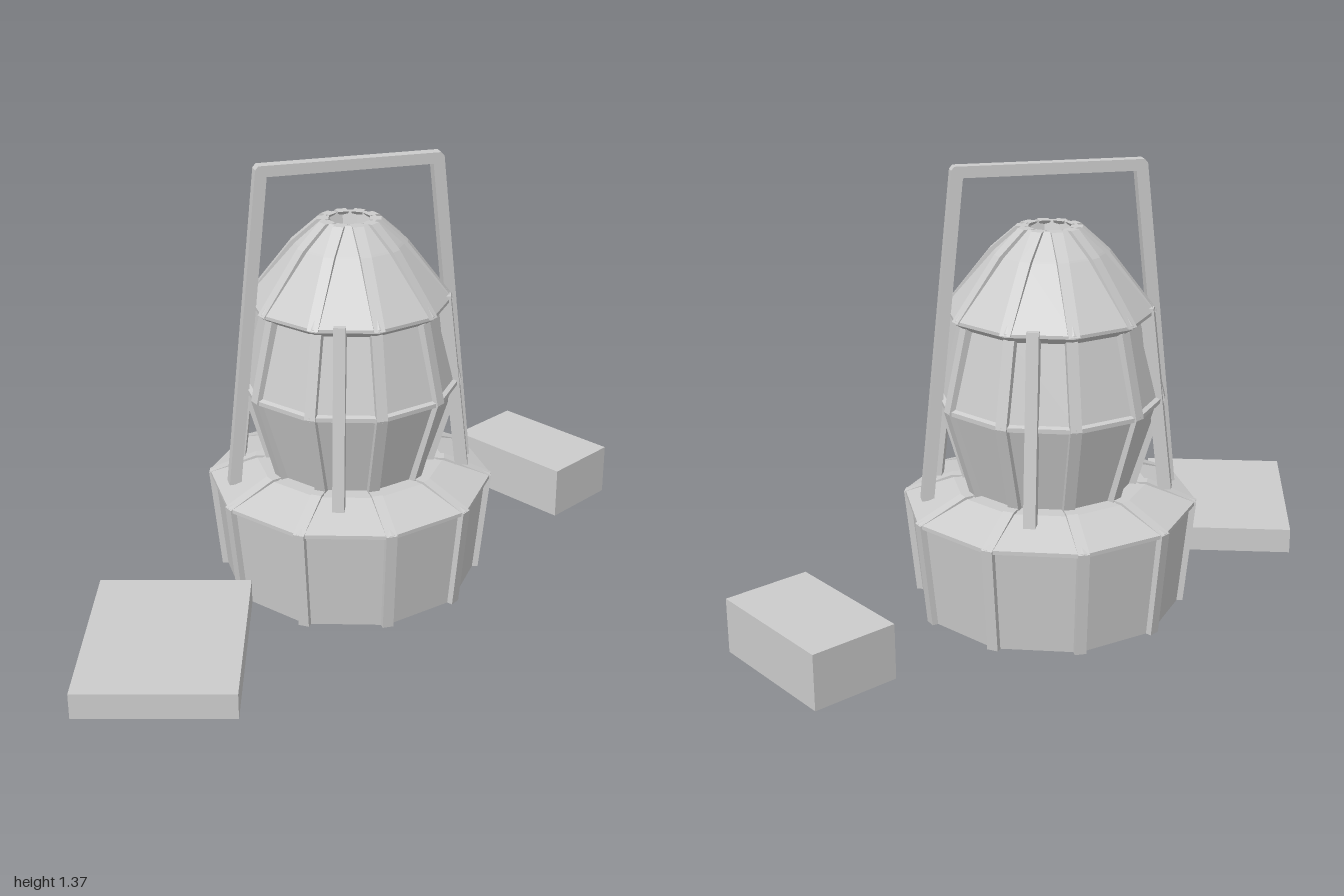
import * as THREE from 'three';

const SIDES = 10;
const CENTER_Z = -0.1;

export function createModel() {
  const model = new THREE.Group();
  const grey = new THREE.MeshStandardMaterial({ color: 0xcccccc, flatShading: true });

  const add = (name, geometry, parent = model) => {
    const mesh = new THREE.Mesh(geometry, grey);
    mesh.name = name;
    parent.add(mesh);
    return mesh;
  };
  const vectors = (list) => list.map(([x, y]) => new THREE.Vector2(x, y));
  const slab = (points, depth, holes = []) => {
    const shape = new THREE.Shape(vectors(points));
    holes.forEach((h) => shape.holes.push(new THREE.Path(vectors(h))));
    return new THREE.ExtrudeGeometry(shape, { depth, bevelEnabled: false }).translate(0, 0, -depth / 2);
  };

  const lantern = new THREE.Group();
  lantern.name = 'lantern';
  lantern.position.z = CENTER_Z;
  model.add(lantern);

  // Hollow ten-sided shell: up the outside, back down the inside
  const shell = [
    [0.335, 0], [0.405, 0], [0.436, 0.315], [0.45, 0.32], [0.45, 0.332], [0.3, 0.385],
    [0.25, 0.385], [0.333, 0.65], [0.347, 0.655], [0.347, 0.668], [0.333, 0.673],
    [0.275, 0.9], [0.315, 0.925], [0.315, 0.935], [0.17, 1.105], [0.165, 1.11], [0.088, 1.18],
    [0.078, 1.18], [0.06, 1.11], [0.11, 1.06], [0.24, 0.92], [0.21, 0.89],
    [0.265, 0.66], [0.19, 0.35], [0.36, 0.29], [0.335, 0],
  ];
  add('shell', new THREE.LatheGeometry(vectors(shell), SIDES), lantern);

  // Raised battens on every corner, one strip per tier
  const tiers = {
    baseRib: [[0.418, 0], [0.451, 0.33], [0.3, 0.392]],
    bodyRib: [[0.265, 0.38], [0.348, 0.66], [0.29, 0.91]],
    roofRib: [[0.317, 0.93], [0.177, 1.11], [0.097, 1.18]],
  };
  for (const [name, outer] of Object.entries(tiers)) {
    const inner = outer.map(([r, y], i) => [r - 0.035, y - (i === 1 ? 0.012 : 0)]).reverse();
    const geometry = slab([...outer, ...inner], 0.034);
    for (let i = 0; i < SIDES; i++) {
      add(name, geometry, lantern).rotation.y = (i / SIDES) * Math.PI * 2 - Math.PI / 2;
    }
  }

  // Four leaning struts between the base and the eaves
  const strut = slab([[0.335, 0.38], [0.375, 0.38], [0.31, 0.945], [0.27, 0.945]], 0.036);
  for (let i = 0; i < 4; i++) {
    add('strut', strut, lantern).rotation.y = -0.375 + i * Math.PI / 2;
  }

  // Carrying handle: a tapering frame open at the bottom
  add('handle', slab([
    [0.397, 0.35], [0.29, 1.355], [0.28, 1.366], [-0.28, 1.366], [-0.29, 1.355], [-0.397, 0.35],
    [-0.36, 0.35], [-0.256, 1.332], [0.256, 1.332], [0.36, 0.35],
  ].reverse(), 0.037), lantern).position.z = 0.005;

  // Loose blocks on the ground
  const block = (name, size, position, turn) => {
    const mesh = add(name, new THREE.BoxGeometry(...size));
    mesh.position.set(...position);
    mesh.rotation.y = turn;
  };
  block('flatBlock', [0.468, 0.08, 0.615], [-0.685, 0.065, 0.328], -0.285);
  block('tallBlock', [0.27, 0.17, 0.445], [0.77, 0.1, -0.44], 0.505);

  return model;
}
